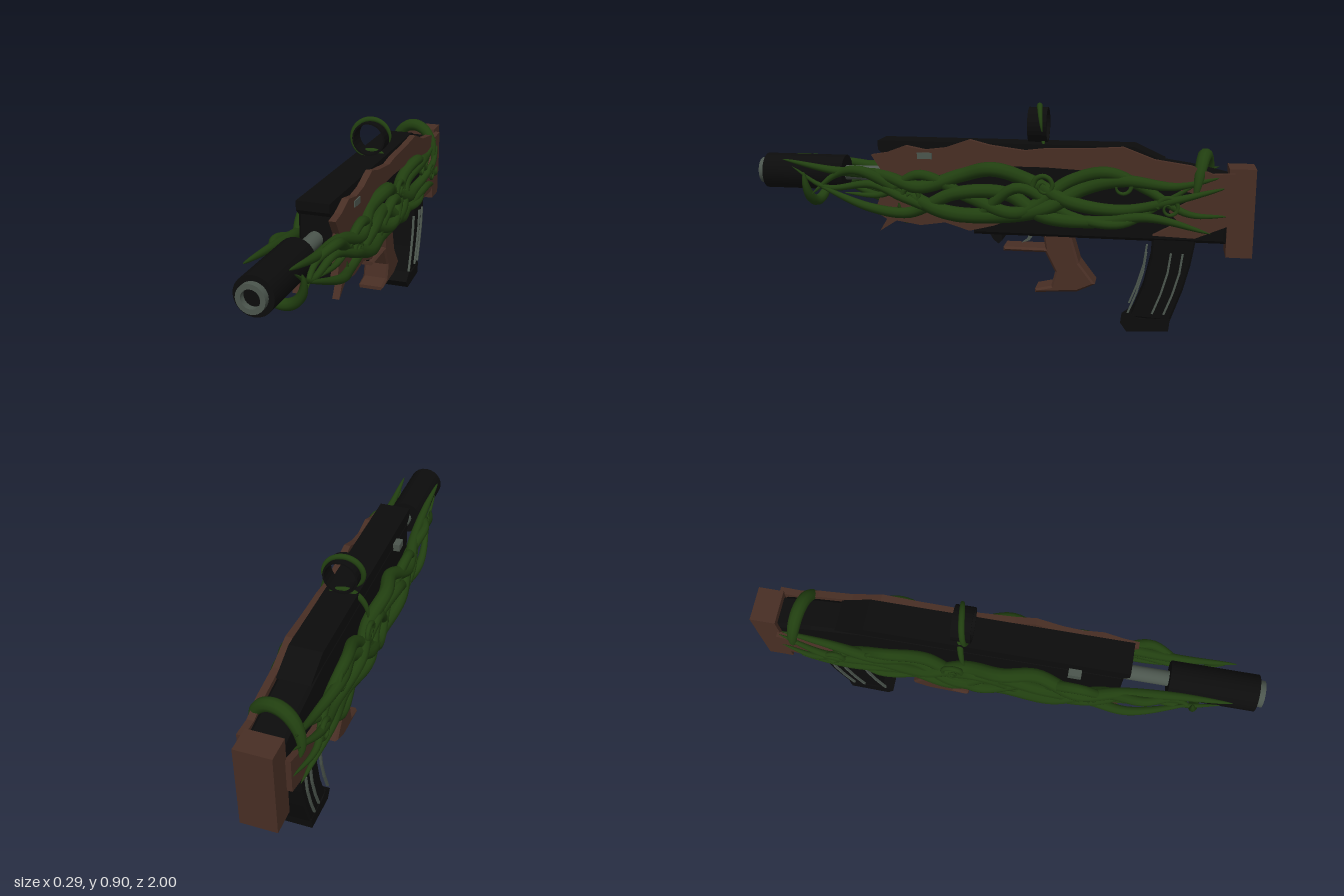
import * as THREE from 'three';

const mat = (name, color) => {
  const m = new THREE.MeshStandardMaterial({ color });
  m.name = name;
  return m;
};

export function createModel() {
  const model = new THREE.Group();
  const black = mat('black metal', 0x0c0c0c);
  const wood = mat('brown wood', 0x482e24);
  const green = mat('vine green', 0x213f10);
  const grey = mat('grey steel', 0x4b554d);

  const add = (name, geo, m) => {
    const mesh = new THREE.Mesh(geo, m);
    mesh.name = name;
    model.add(mesh);
    return mesh;
  };
  const box = (name, m, x0, x1, y0, y1, z0, z1) =>
    add(name, new THREE.BoxGeometry(x1 - x0, y1 - y0, z1 - z0)
      .translate((x0 + x1) / 2, (y0 + y1) / 2, (z0 + z1) / 2), m);
  // Side profile of [z, y] points, extruded across x
  const slab = (name, m, pts, x0, x1, bevel = 0) => {
    const shape = new THREE.Shape(pts.map(p => new THREE.Vector2(...p)));
    const geo = new THREE.ExtrudeGeometry(shape, {
      depth: x1 - x0 - 2 * bevel, bevelEnabled: bevel > 0, bevelSize: bevel,
      bevelThickness: bevel, bevelOffset: -bevel, bevelSegments: 1,
    });
    return add(name, geo.rotateY(-Math.PI / 2).translate(x1 - bevel, 0, 0), m);
  };
  // Hollow or solid turned part along z, from [radius, z] points
  const turned = (name, m, pts, y, sides = 24) =>
    add(name, new THREE.LatheGeometry(pts.map(p => new THREE.Vector2(...p)), sides)
      .rotateX(Math.PI / 2).translate(0, y, 0), m);

  // Receiver, top rail and underside
  slab('receiver', black, [[0.46, 0.7], [-0.56, 0.7], [-0.76, 0.67], [-0.9, 0.64], [-0.9, 0.375],
    [0.09, 0.375], [0.09, 0.43], [0.46, 0.43]], -0.066, 0.066, 0.012);
  slab('topRail', black, [[0.48, 0.745], [-0.54, 0.745], [-0.66, 0.69], [0.46, 0.69], [0.48, 0.71]], -0.064, 0.064);
  slab('frontCatch', black, [[0.03, 0.38], [0.01, 0.35], [-0.01, 0.335], [-0.025, 0.35], [-0.02, 0.38]], -0.045, 0.045);
  slab('trigger', grey, [[-0.13, 0.38], [-0.12, 0.35], [-0.1, 0.335], [-0.13, 0.345], [-0.155, 0.38]], -0.012, 0.012);
  box('sideLever', grey, -0.092, -0.06, 0.675, 0.705, 0.25, 0.3);
  box('sidePin', grey, 0.09, 0.098, 0.68, 0.705, 0.25, 0.31);

  // Barrel, suppressor and muzzle
  turned('barrel', grey, [[0.03, 0.65], [0.03, 0.44]].reverse(), 0.6);
  turned('suppressor', black, [[0, 0.635], [0.072, 0.635], [0.072, 0.635], [0.072, 0.975], [0.072, 0.975], [0, 0.975]], 0.6);
  turned('muzzleRing', grey, [[0.052, 0.97], [0.052, 1], [0.052, 1], [0.034, 1], [0.034, 1], [0.034, 0.97]], 0.6);

  // Ring sight
  const ring = new THREE.Shape().absarc(0, 0, 0.069, 0, Math.PI * 2);
  const hole = new THREE.Path().absarc(0, 0, 0.062, 0, Math.PI * 2);
  ring.holes.push(hole);
  add('ringSight', new THREE.ExtrudeGeometry(ring, { depth: 0.075, bevelEnabled: false, curveSegments: 12 })
    .translate(0, 0.815, -0.2), black);

  // Wooden butt and grip
  box('butt', wood, -0.07, 0.07, 0.325, 0.67, -1, -0.9);
  slab('grip', wood, [[-0.03, 0.325], [-0.03, 0.308], [-0.2, 0.308], [-0.24, 0.23], [-0.225, 0.17], [-0.16, 0.155],
    [-0.16, 0.14], [-0.33, 0.152], [-0.4, 0.185], [-0.335, 0.27], [-0.3, 0.385], [-0.19, 0.385], [-0.2, 0.325]], -0.055, 0.055, 0.008);

  // Jagged wooden side panels
  slab('upperPanelLeft', wood, [[0.5, 0.69], [0.44, 0.7], [0.36, 0.73], [0.28, 0.715], [0.2, 0.725], [0.1, 0.76], [0.02, 0.74],
    [-0.12, 0.722], [-0.2, 0.732], [-0.35, 0.735], [-0.5, 0.745], [-0.62, 0.7], [-0.76, 0.68], [-0.84, 0.65],
    [-0.92, 0.655], [-0.92, 0.46], [-0.78, 0.4], [-0.62, 0.405], [-0.72, 0.46], [-0.68, 0.5], [-0.8, 0.57],
    [-0.6, 0.61], [-0.4, 0.65], [-0.2, 0.66], [0.05, 0.66], [0.2, 0.62], [0.36, 0.6], [0.48, 0.58], [0.46, 0.63]], 0.066, 0.093);
  slab('lowerPanelLeft', wood, [[0.46, 0.54], [0.49, 0.46], [0.44, 0.43], [0.47, 0.38], [0.4, 0.425], [0.3, 0.41], [0.2, 0.425],
    [0.1, 0.395], [0, 0.42], [-0.05, 0.44], [0.1, 0.47], [0.3, 0.48]], 0.066, 0.093);
  slab('lowerPanelRight', wood, [[0.49, 0.52], [0.45, 0.44], [0.47, 0.38], [0.38, 0.42], [0.24, 0.42], [0.1, 0.395], [-0.02, 0.41],
    [-0.12, 0.385], [-0.3, 0.4], [-0.42, 0.38], [-0.58, 0.41], [-0.76, 0.4], [-0.91, 0.44], [-0.91, 0.58],
    [-0.76, 0.53], [-0.5, 0.49], [-0.2, 0.47], [0.1, 0.49], [0.3, 0.5]], -0.09, -0.066);

  // Curved magazine with steel ribs
  slab('magazine', black, [[-0.62, 0.4], [-0.615, 0.3], [-0.59, 0.18], [-0.545, 0.06], [-0.7, 0.05],
    [-0.745, 0.18], [-0.77, 0.28], [-0.79, 0.4]], -0.06, 0.06, 0.008);
  slab('magazineBase', black, [[-0.505, 0.035], [-0.55, 0.07], [-0.58, 0.055], [-0.7, 0.06], [-0.695, 0.01], [-0.53, 0]], -0.062, 0.062);
  for (const s of [-1, 1]) {
    for (const z of [0, -0.045, -0.09]) {
      const path = [[-0.645, 0.33], [-0.635, 0.25], [-0.61, 0.16], [-0.58, 0.08]];
      const off = z === 0 ? 0.05 : 0; // foremost rib stands ahead of the magazine
      const pts = path.map(([a, b]) => [a + z + off, b]);
      const back = path.map(([a, b]) => [a + z + off - 0.008, b]).reverse();
      slab('magazineRib', grey, [...pts, ...back], s * 0.064 - 0.005, s * 0.064 + 0.005);
    }
  }

  // Tapered vine through a list of points
  const vine = (name, pts, r, bluntStart = false) => {
    const curve = new THREE.CatmullRomCurve3(pts.map(p => new THREE.Vector3(...p)));
    const n = pts.length * 8, k = 10;
    const geo = new THREE.TubeGeometry(curve, n, r, k);
    const pos = geo.attributes.position, v = new THREE.Vector3();
    for (let i = 0; i <= n; i++) {
      const u = i / n, c = curve.getPointAt(u);
      const f = Math.max(0.03, bluntStart ? Math.sqrt(1 - u) : Math.pow(Math.sin(Math.PI * u), 0.55));
      for (let j = 0; j <= k; j++) {
        const id = i * (k + 1) + j;
        v.fromBufferAttribute(pos, id).sub(c).multiplyScalar(f).add(c);
        pos.setXYZ(id, v.x, v.y, v.z);
      }
    }
    return add(name, geo, green);
  };

  // Braided strands as [z, y] runs, weaving in and out on both sides
  const strands = [
    [[0.88, 0.66], [0.66, 0.62], [0.46, 0.61], [0.3, 0.57], [0.13, 0.62], [0, 0.65], [-0.15, 0.6], [-0.3, 0.53], [-0.5, 0.5], [-0.7, 0.55], [-0.89, 0.6]],
    [[0.76, 0.52], [0.66, 0.6], [0.55, 0.63], [0.4, 0.56], [0.2, 0.475], [0, 0.46], [-0.2, 0.5], [-0.35, 0.58], [-0.5, 0.62], [-0.7, 0.6], [-0.87, 0.64]],
    [[0.74, 0.56], [0.5, 0.48], [0.35, 0.46], [0.15, 0.55], [-0.05, 0.55], [-0.2, 0.47], [-0.4, 0.45], [-0.6, 0.48], [-0.84, 0.42]],
    [[0.62, 0.53], [0.46, 0.53], [0.3, 0.62], [0.1, 0.53], [-0.1, 0.48], [-0.3, 0.61], [-0.45, 0.65], [-0.6, 0.58], [-0.75, 0.5], [-0.9, 0.49]],
    [[0.84, 0.63], [0.7, 0.55], [0.5, 0.57], [0.35, 0.52], [0.1, 0.45], [-0.1, 0.58], [-0.3, 0.47], [-0.5, 0.45], [-0.65, 0.53], [-0.82, 0.64]],
  ];
  const radii = [0.029, 0.031, 0.028, 0.026, 0.022];
  for (const s of [-1, 1]) {
    strands.forEach((run, i) => {
      const pts = run.map(([z, y], j) => {
        const x = z > 0.6 ? 0.08 : z < -0.75 ? 0.09 : 0.103 + 0.012 * ((i + j) % 2 ? 1 : -1);
        return [s * x, y + (s < 0 ? 0.015 * Math.sin(j * 2 + i) : 0), z];
      });
      vine('vineStrand', pts, radii[i]);
    });
    // Spiral tendrils
    for (const [z, y, size] of [[-0.2, 0.59, 0.045], [0.33, 0.53, 0.04], [-0.5, 0.6, 0.05], [-0.68, 0.52, 0.045]]) {
      const pts = [];
      for (let a = 0; a <= 9; a += 0.75) {
        const r = size * (1 - a / 11);
        pts.push([s * (0.115 + a * 0.0015), y + r * Math.sin(a), z + r * Math.cos(a)]);
      }
      vine('curlTendril', pts, 0.012, true);
    }
  }

  // Loops of vine wrapped across the gun
  const loop = (name, y, z, rx, ry, from, to, r, slant) => {
    const pts = [];
    for (let i = 0; i <= 12; i++) {
      const t = i / 12, a = from + (to - from) * t;
      pts.push([rx * Math.cos(a), y + ry * Math.sin(a), z + slant * (t - 0.5)]);
    }
    vine(name, pts, r);
  };
  const PI = Math.PI;
  loop('suppressorLoop', 0.58, 0.765, 0.09, 0.1, PI * 0.95, PI * 2.1, 0.022, 0.05);
  loop('underLoop', 0.5, 0.37, 0.095, 0.085, PI, PI * 2, 0.018, 0.04);
  loop('rearLoop', 0.58, -0.81, 0.1, 0.13, -0.2, PI * 1.1, 0.027, -0.07);
  loop('sightLoop', 0.815, -0.16, 0.075, 0.074, -0.3, PI * 1.45, 0.012, 0.05);
  loop('railTendril', 0.64, -0.17, 0.095, 0.115, PI * 0.3, PI * 1.05, 0.012, 0.04);
  return model;
}
